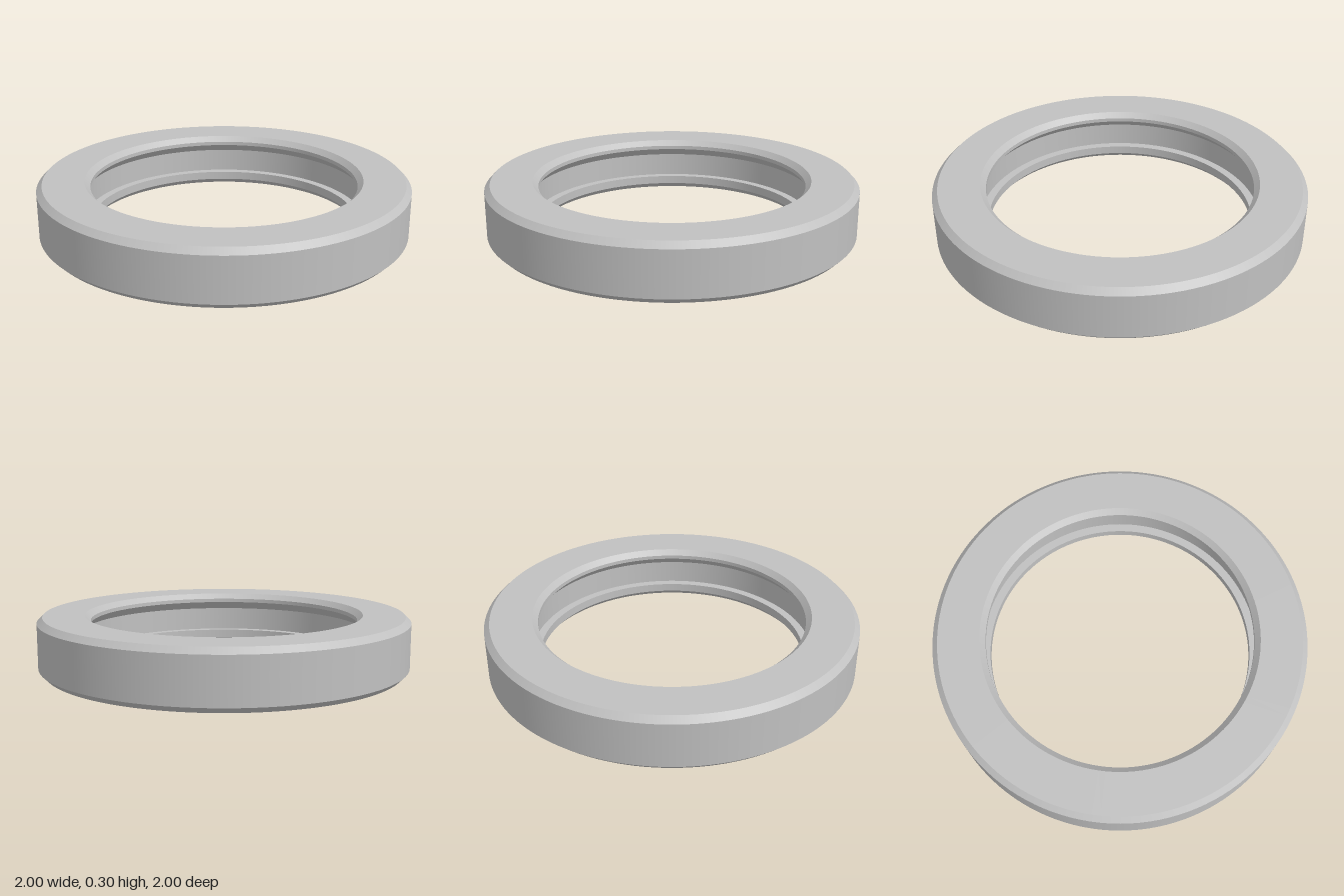
import * as THREE from 'three';
import { mergeGeometries } from 'three/addons/utils/BufferGeometryUtils.js';

export function createModel() {
  const model = new THREE.Group();
  model.name = 'ring';
  const grey = new THREE.MeshStandardMaterial({ color: 0xc0c0c0 });
  grey.name = 'grey';

  // Each run of [radius, y] points is turned band by band, so edges stay crisp
  const addBands = (name, points) => {
    const bands = [];
    for (let i = 0; i < points.length - 1; i++) {
      const pair = [points[i], points[i + 1]].map(([r, y]) => new THREE.Vector2(r, y));
      bands.push(new THREE.LatheGeometry(pair, 128));
    }
    const mesh = new THREE.Mesh(mergeGeometries(bands), grey);
    mesh.name = name;
    model.add(mesh);
  };

  // Outside wall with chamfers, and the flat top
  addBands('outerShell', [[0.97, 0], [1, 0.03], [1, 0.27], [0.97, 0.3], [0.747, 0.3]]);
  // Upper lip, sloped groove roof, groove wall, flat ledge, lower lip
  addBands('innerGroove', [
    [0.747, 0.3], [0.718, 0.271], [0.718, 0.25], [0.763, 0.205],
    [0.763, 0.075], [0.718, 0.075], [0.718, 0.029], [0.747, 0],
  ]);
  // Flat underside
  addBands('underside', [[0.747, 0], [0.97, 0]]);

  return model;
}
